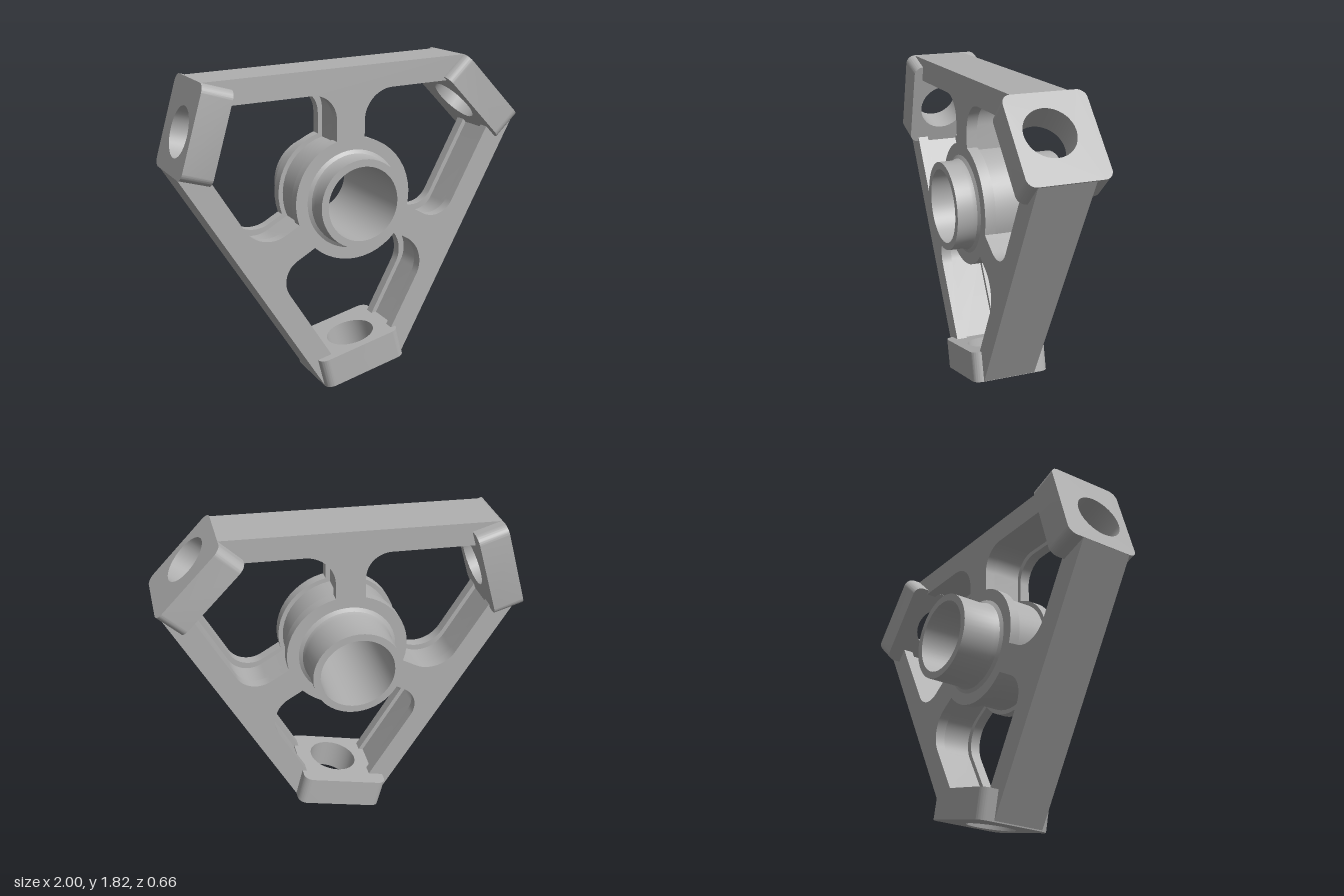
import * as THREE from 'three';
import { toCreasedNormals } from 'three/addons/utils/BufferGeometryUtils.js';

const CX = -0.02, CY = 1.08;           // hub axis
const THIRD = Math.PI * 2 / 3;
const metal = new THREE.MeshStandardMaterial({ color: 0xb0b0b0 });
metal.name = 'grey metal';

function addMesh(group, geometry, name) {
  const mesh = new THREE.Mesh(toCreasedNormals(geometry, 0.6), metal);
  mesh.name = name;
  group.add(mesh);
  return mesh;
}

// Outline of hub ring, three spokes and three rim beams; g shrinks the window walls inwards
function frameShape(g) {
  const shape = new THREE.Shape();
  const ring = 0.34 - g, left = -0.1 + g, right = 0.065 - g;
  const beam = (x) => 0.588 + g + 0.036 * x;
  const ringY = (x) => Math.sqrt(ring * ring - x * x);
  const k = 0.45;
  for (let i = 0; i < 3; i++) {
    const c = Math.cos(i * THIRD), s = Math.sin(i * THIRD);
    const r = (x, y) => [x * c - y * s, x * s + y * c];
    const line = (x, y) => shape.lineTo(...r(x, y));
    const start = r(right, ringY(right));
    if (i === 0) shape.moveTo(...start); else shape.lineTo(...start);
    // right side of spoke, fillet, beam end
    const R = 0.165, L = 0.14;
    line(right, beam(right) - R);
    shape.bezierCurveTo(...r(right, beam(right) - R * k), ...r(right + R * k, beam(right + R * k)), ...r(right + R, beam(right + R)));
    line(0.593, beam(0.593));
    // outer edge
    line(0.67, 0.745);
    line(-0.842, 0.689);
    // left beam end, fillet, left side of spoke
    line(-0.723, beam(-0.723));
    line(left - L, beam(left - L));
    shape.bezierCurveTo(...r(left - L * k, beam(left - L * k)), ...r(left, beam(left) - L * k), ...r(left, beam(left) - L));
    line(left, ringY(left));
    // hub ring arc to the next spoke
    const a0 = Math.atan2(ringY(left), left);
    const a1 = Math.atan2(ringY(right), right) + THIRD;
    for (let j = 1; j < 12; j++) {
      const a = a0 + (a1 - a0) * j / 12;
      line(ring * Math.cos(a), ring * Math.sin(a));
    }
  }
  shape.closePath();
  const bore = new THREE.Path();
  bore.absarc(0, 0, 0.225, 0, Math.PI * 2, true);
  shape.holes.push(bore);
  return shape;
}

function frameLayer(group, g, z0, z1, name) {
  const geo = new THREE.ExtrudeGeometry(frameShape(g), { depth: z1 - z0, bevelEnabled: false, curveSegments: 14 });
  geo.translate(0, 0, z0);
  addMesh(group, geo, name);
}

// Rounded mounting plate with a round hole
function padGeometry() {
  const w = 0.251, h = 0.2225, r = 0.05;
  const s = new THREE.Shape();
  s.absarc(w - r, h - r, r, 0, Math.PI / 2);
  s.absarc(-w + r, h - r, r, Math.PI / 2, Math.PI);
  s.absarc(-w + r, -h + r, r, Math.PI, Math.PI * 1.5);
  s.absarc(w - r, -h + r, r, Math.PI * 1.5, Math.PI * 2);
  s.closePath();
  const hole = new THREE.Path();
  hole.absarc(0.025, 0.03, 0.137, 0, Math.PI * 2, true);
  s.holes.push(hole);
  return new THREE.ExtrudeGeometry(s, { depth: 0.17, bevelEnabled: false, curveSegments: 16 });
}

export function createModel() {
  const model = new THREE.Group();
  model.name = 'triangularBracket';
  const body = new THREE.Group();
  body.name = 'body';
  body.position.set(CX, CY, 0);
  model.add(body);

  // Frame with a shallow groove running around the window walls
  frameLayer(body, 0, 0.15, 0.21, 'frameFront');
  frameLayer(body, 0.025, -0.035, 0.15, 'frameWeb');
  frameLayer(body, 0, -0.095, -0.035, 'frameBack');

  // Hub tube with small fillets where it meets the frame
  const profile = [
    [0.205, -0.33], [0.245, -0.33], [0.245, -0.13], [0.254, -0.107], [0.275, -0.094],
    [0.275, 0.209], [0.254, 0.222], [0.245, 0.245], [0.245, 0.33], [0.205, 0.33], [0.205, -0.33],
  ].map(([x, y]) => new THREE.Vector2(x, y));
  const tube = new THREE.LatheGeometry(profile, 48);
  tube.rotateX(Math.PI / 2);
  addMesh(body, tube, 'hubTube');

  // Three mounting pads at the cut corners
  for (let i = 0; i < 3; i++) {
    const a = 44 * Math.PI / 180 + i * THIRD;
    const n = new THREE.Vector3(Math.cos(a), Math.sin(a), 0);
    const t = new THREE.Vector3(-n.y, n.x, 0);
    const z = new THREE.Vector3(0, 0, 1);
    const m = new THREE.Matrix4().makeBasis(t, z, n);
    m.setPosition(n.clone().multiplyScalar(0.831).addScaledVector(t, -0.181).addScaledVector(z, 0.0375));
    addMesh(body, padGeometry().applyMatrix4(m), 'mountingPad' + (i + 1));
  }
  return model;
}
